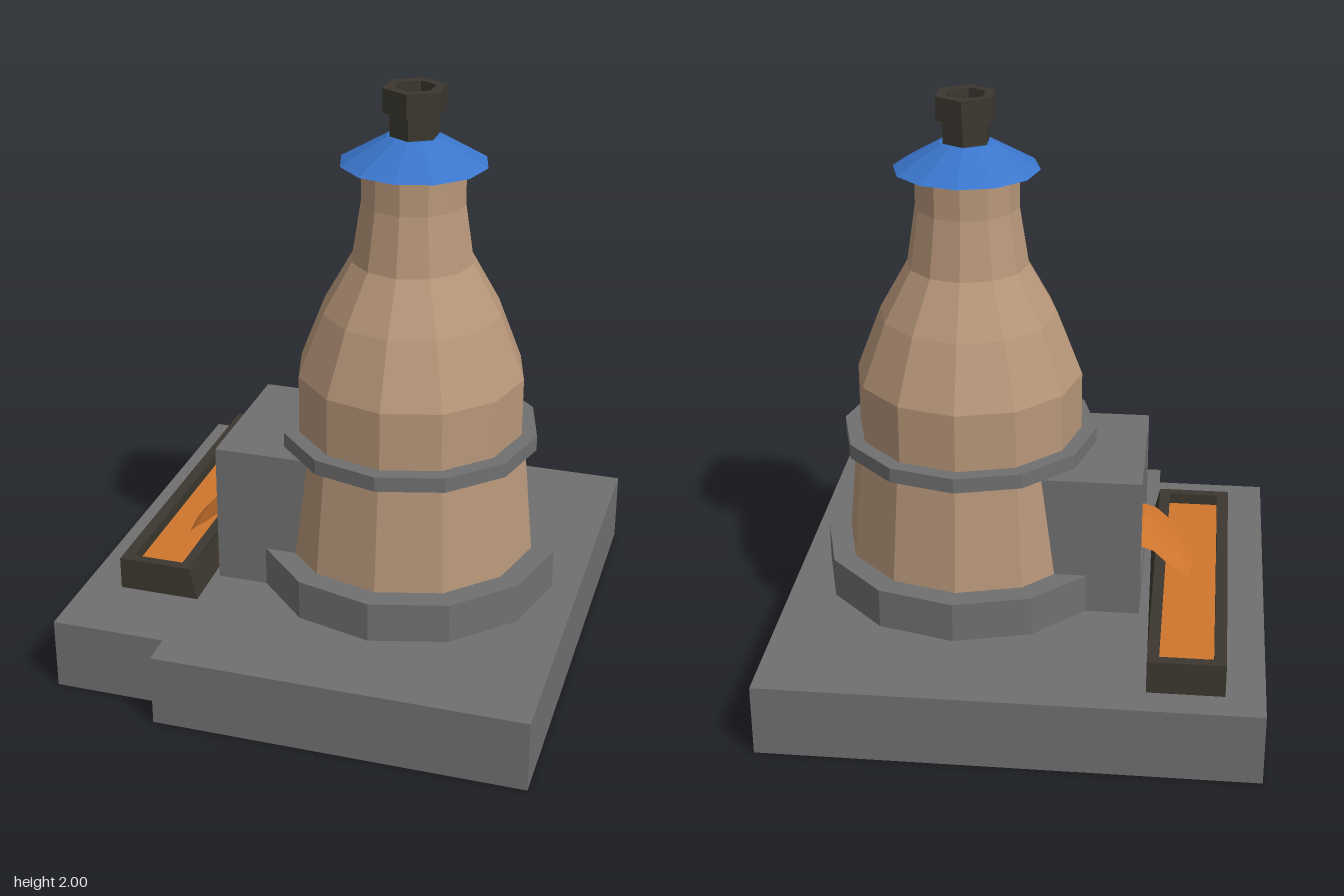
import * as THREE from 'three';

const material = (color, side = THREE.FrontSide) =>
  new THREE.MeshStandardMaterial({ color, flatShading: true, side });

const STONE = material(0x707070);
const CLAY = material(0xb8977a);
const BLUE = material(0x3a76cc);
const IRON = material(0x3c3830);
const MOLTEN = material(0xcf762e, THREE.DoubleSide);

const CX = 0.216, CZ = 0.02; // tower axis

function rectPath(a0, b0, a1, b1, Type = THREE.Shape) {
  const points = [[a0, b0], [a1, b0], [a1, b1], [a0, b1]];
  return new Type(points.map(([a, b]) => new THREE.Vector2(a, b)));
}

function extrude(shape, depth) {
  return new THREE.ExtrudeGeometry(shape, { depth, bevelEnabled: false });
}

// Horizontal slab: the outline is (x, z), filled from y0 up to y1
function slab(shape, y0, y1) {
  return extrude(shape, y1 - y0).rotateX(Math.PI / 2).translate(0, y1, 0);
}

export function createModel() {
  const model = new THREE.Group();

  function add(name, geometry, mat) {
    const mesh = new THREE.Mesh(geometry, mat);
    mesh.name = name;
    model.add(mesh);
    return mesh;
  }
  function turned(name, profile, sides, mat) {
    const points = profile.map(([r, y]) => new THREE.Vector2(r, y));
    add(name, new THREE.LatheGeometry(points, sides), mat).position.set(CX, 0, CZ);
  }

  // Foundation with a notched corner
  const plan = new THREE.Shape([
    [-0.83, -0.845], [0.83, -0.845], [0.83, 0.845],
    [-0.435, 0.845], [-0.435, 0.735], [-0.83, 0.735],
  ].map(([x, z]) => new THREE.Vector2(x, z)));
  add('foundation', slab(plan, 0, 0.25), STONE);

  // Tower
  turned('plinth', [[0.52, 0.25], [0.52, 0.39], [0.4, 0.39]], 12, STONE);
  turned('furnaceBody', [
    [0.44, 0.39], [0.403, 0.79], [0.39, 0.82], [0.39, 1.025], [0.305, 1.245],
    [0.207, 1.42], [0.176, 1.62], [0.176, 1.75], [0.246, 1.75],
  ], 12, CLAY);
  turned('band', [[0.38, 0.77], [0.443, 0.77], [0.443, 0.822], [0.38, 0.822]], 12, STONE);
  turned('roof', [[0.246, 1.75], [0.09, 1.84], [0, 1.84]], 12, BLUE);
  turned('chimney', [
    [0.083, 1.84], [0.083, 1.92], [0.107, 1.92], [0.107, 2],
    [0.07, 2], [0.07, 1.92], [0, 1.92],
  ], 6, IRON);

  // Tapping block: solid rear, hollow mouth facing -x
  add('tapBlock', new THREE.BoxGeometry(0.32, 0.5, 0.55).translate(-0.11, 0.5, 0.015), STONE);
  const mouth = rectPath(-0.26, 0.25, 0.29, 0.75);
  mouth.holes.push(rectPath(-0.19, 0.32, 0.23, 0.7, THREE.Path));
  add('tapMouth', extrude(mouth, 0.13).rotateY(-Math.PI / 2).translate(-0.27, 0, 0), STONE);
  add('moltenCore', new THREE.BoxGeometry(0.01, 0.38, 0.42).translate(-0.27, 0.51, 0.02), MOLTEN);

  // Molten stream: rows of [x, y, zBack, zFront], slightly crowned
  const rows = [
    [-0.27, 0.46, -0.15, 0.17], [-0.4, 0.455, -0.145, 0.175], [-0.44, 0.442, -0.145, 0.175],
    [-0.5, 0.39, -0.15, 0.172], [-0.54, 0.357, -0.14, 0.16], [-0.58, 0.315, -0.115, 0.14],
  ];
  const across = 4, positions = [], index = [];
  rows.forEach(([x, y, z0, z1], i) => {
    for (let j = 0; j < across; j++) {
      const crown = j % (across - 1) ? 0.012 : 0;
      positions.push(x, y + crown - 0.006, z0 + (z1 - z0) * j / (across - 1));
      if (i && j) {
        const d = i * across + j, c = d - 1, b = d - across, a = b - 1;
        index.push(a, c, b, b, c, d);
      }
    }
  });
  const stream = new THREE.BufferGeometry();
  stream.setAttribute('position', new THREE.Float32BufferAttribute(positions, 3));
  stream.setIndex(index);
  stream.computeVertexNormals();
  add('moltenStream', stream, MOLTEN);

  // Casting trough, its front inner foot splayed outward
  const rim = rectPath(-0.7, -0.74, -0.445, 0.46);
  rim.holes.push(rectPath(-0.66, -0.705, -0.482, 0.425, THREE.Path));
  const trough = slab(rim, 0.25, 0.365);
  const p = trough.attributes.position;
  for (let i = 0; i < p.count; i++) {
    if (p.getX(i) > -0.45 && p.getY(i) < 0.3 && p.getZ(i) > 0.45) p.setX(i, -0.418);
  }
  add('trough', trough, IRON);
  add('moltenPool', slab(rectPath(-0.665, -0.71, -0.477, 0.43), 0.26, 0.325), MOLTEN);

  return model;
}
